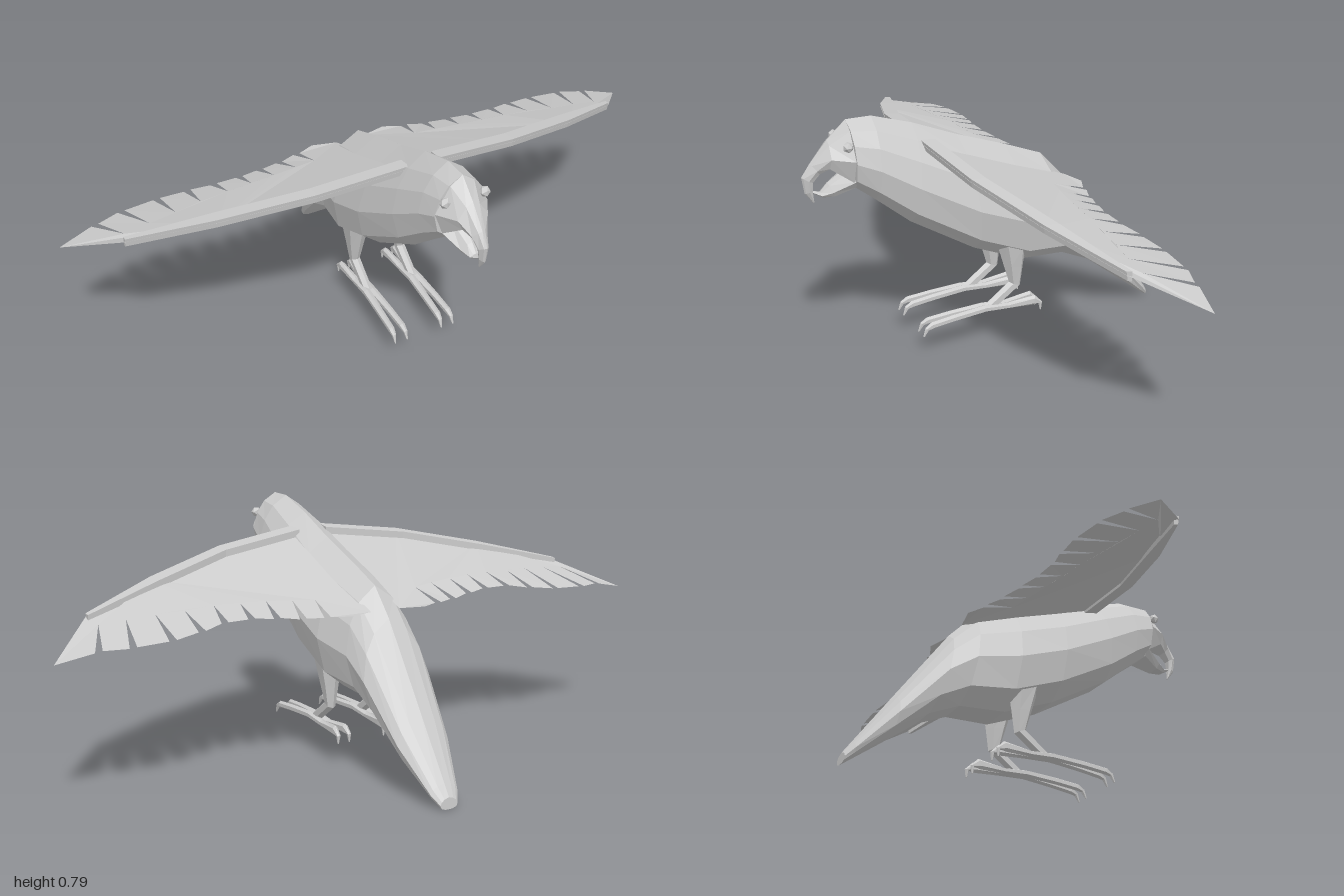
import * as THREE from 'three';

const solid = new THREE.MeshStandardMaterial({ color: 0xcccccc, flatShading: true });
const thin = new THREE.MeshStandardMaterial({ color: 0xcccccc, flatShading: true, side: THREE.DoubleSide });

// Half cross-sections: [fraction of half width, fraction of height from bottom to top]
const BODY = [[0, 1], [0.5, 0.87], [0.82, 0.68], [1, 0.42], [0.86, 0.14], [0.4, 0]];
const BEAK = [[0, 1], [0.45, 0.85], [1, 0.4], [0.7, 0]];
const LIMB = [[0, 1], [1, 0.75], [1, 0.25], [0, 0]];

// Skin a list of equal rings and close both ends
function skin(name, rings) {
  const n = rings[0].length, index = [];
  for (let i = 0; i < rings.length - 1; i++) {
    for (let j = 0; j < n; j++) {
      const a = i * n + j, b = i * n + (j + 1) % n;
      index.push(a, b, b + n, a, b + n, a + n);
    }
  }
  const end = (rings.length - 1) * n;
  for (let j = 1; j < n - 1; j++) index.push(0, j + 1, j, end, end + j, end + j + 1);
  const g = new THREE.BufferGeometry();
  g.setAttribute('position', new THREE.Float32BufferAttribute(rings.flat(2), 3));
  g.setIndex(index);
  const flat = g.toNonIndexed();
  flat.computeVertexNormals();
  const mesh = new THREE.Mesh(flat, solid);
  mesh.name = name;
  return mesh;
}

// Section: [top z, top y, bottom z, bottom y, half width, centre x]
function loft(name, half, sections) {
  const mirrored = half.filter(p => p[0] > 0).reverse().map(([w, h]) => [-w, h]);
  const profile = [...half, ...mirrored];
  return skin(name, sections.map(([tz, ty, bz, by, hw, cx = 0]) =>
    profile.map(([w, h]) => [cx + w * hw, by + (ty - by) * h, bz + (tz - bz) * h])));
}

// Piecewise linear lookup in rows [x, value, ...]
function lookup(rows, x, column) {
  let i = 0;
  while (i < rows.length - 2 && x > rows[i + 1][0]) i++;
  const t = (x - rows[i][0]) / (rows[i + 1][0] - rows[i][0]);
  return THREE.MathUtils.lerp(rows[i][column], rows[i + 1][column], t);
}

// Leading edge [x, z, y]; feather gaps [notch x, notch z, tip x, tip z]
const LEAD = [[0.05, 0.245, 0.71], [0.33, 0.21, 0.675], [0.6, 0.12, 0.62], [0.845, 0.005, 0.56], [1, -0.17, 0.48]];
const TRAIL = [[0, 0.52], [0.5, 0.52], [0.8, 0.5], [1, 0.475]];
const GAPS = [
  [0.83, -0.055, 0.88, -0.195], [0.75, -0.06, 0.79, -0.22], [0.665, -0.07, 0.675, -0.225],
  [0.58, -0.085, 0.58, -0.21], [0.49, -0.09, 0.5, -0.19], [0.41, -0.1, 0.415, -0.19],
  [0.33, -0.11, 0.34, -0.205], [0.25, -0.125, 0.265, -0.225], [0.18, -0.14, 0.195, -0.245],
];

function makeWing(side) {
  const wing = new THREE.Group();
  wing.name = side > 0 ? 'leftWing' : 'rightWing';

  // Feather sheet, cut flat and then lifted to the wing slope
  const outline = LEAD.map(([x, z]) => new THREE.Vector2(x, z));
  for (const [nx, nz, tx, tz] of GAPS) {
    outline.push(new THREE.Vector2(tx + 0.012, tz), new THREE.Vector2(nx, nz), new THREE.Vector2(tx - 0.01, tz));
  }
  outline.push(new THREE.Vector2(0.13, -0.27), new THREE.Vector2(0.05, -0.25));
  const sheet = new THREE.ShapeGeometry(new THREE.Shape(outline));
  const p = sheet.attributes.position;
  for (let i = 0; i < p.count; i++) {
    const x = p.getX(i), z = p.getY(i), zl = lookup(LEAD, x, 1);
    const t = Math.min(1, (zl - z) / (zl + 0.225));
    const y = THREE.MathUtils.lerp(lookup(LEAD, x, 2) - 0.01, lookup(TRAIL, x, 1), t);
    p.setXYZ(i, side * x, y, z);
  }
  sheet.computeVertexNormals();
  const feathers = new THREE.Mesh(sheet, thin);
  feathers.name = 'feathers';

  // Thick leading edge
  const rings = LEAD.slice(0, 4).map(([x, z, y], i) => {
    const depth = i === 3 ? 0.018 : 0.05;
    const ring = [
      [side * x, y - depth * 0.12, z - depth], [side * x, y, z],
      [side * x, y - 0.028, z - 0.005], [side * x, y - 0.028 - depth * 0.2, z - depth],
    ];
    return side > 0 ? ring : ring.reverse();
  });
  wing.add(feathers, skin('leadingEdge', rings));
  return wing;
}

function makeLeg(side) {
  const leg = new THREE.Group();
  const x = side * 0.083;
  leg.name = side > 0 ? 'leftLeg' : 'rightLeg';
  leg.add(loft('shank', LIMB, [
    [-0.1, 0.31, 0.01, 0.36, 0.036, x], [-0.09, 0.25, -0.02, 0.26, 0.024, x],
    [-0.08, 0.178, -0.04, 0.195, 0.014, x], [0, 0.12, 0.045, 0.132, 0.013, x],
  ]));
  // Two toes, each running from front claw to back claw
  for (const s of [-1, 1]) {
    const at = spread => x + s * spread;
    leg.add(loft('toe', LIMB, [
      [0.27, 0.077, 0.265, 0.075, 0.002, at(0.021)], [0.262, 0.105, 0.25, 0.095, 0.006, at(0.02)],
      [0.24, 0.12, 0.23, 0.098, 0.009, at(0.019)], [0.16, 0.128, 0.16, 0.105, 0.01, at(0.016)],
      [0.05, 0.135, 0.05, 0.112, 0.012, at(0.01)], [-0.03, 0.127, -0.03, 0.108, 0.011, at(0.011)],
      [-0.125, 0.137, -0.115, 0.104, 0.009, at(0.018)], [-0.152, 0.11, -0.138, 0.107, 0.006, at(0.019)],
      [-0.148, 0.083, -0.143, 0.083, 0.002, at(0.02)],
    ]));
  }
  return leg;
}

export function createModel() {
  const bird = new THREE.Group();
  bird.name = 'bird';

  // Head, trunk and tail in one skin, front to back
  bird.add(loft('body', BODY, [
    [0.46, 0.79, 0.455, 0.59, 0.085], [0.38, 0.79, 0.39, 0.54, 0.098], [0.25, 0.75, 0.28, 0.45, 0.118],
    [0.1, 0.69, 0.07, 0.325, 0.14], [-0.06, 0.635, -0.1, 0.255, 0.143], [-0.19, 0.585, -0.25, 0.245, 0.122],
    [-0.27, 0.5, -0.35, 0.2, 0.115], [-0.45, 0.25, -0.47, 0.106, 0.088],
    [-0.575, 0.075, -0.575, 0.025, 0.047], [-0.6, 0.04, -0.602, 0.004, 0.03],
  ]));

  // Hooked upper beak and short lower beak, tip to head
  bird.add(loft('upperBeak', BEAK, [
    [0.571, 0.545, 0.568, 0.547, 0.003], [0.596, 0.578, 0.573, 0.585, 0.011], [0.604, 0.63, 0.572, 0.612, 0.016],
    [0.576, 0.67, 0.552, 0.638, 0.025], [0.52, 0.735, 0.525, 0.655, 0.048], [0.46, 0.79, 0.46, 0.61, 0.085],
  ]));
  bird.add(loft('lowerBeak', BEAK, [
    [0.577, 0.584, 0.572, 0.577, 0.005], [0.548, 0.577, 0.545, 0.562, 0.018],
    [0.525, 0.602, 0.51, 0.563, 0.032], [0.45, 0.65, 0.45, 0.588, 0.062],
  ]));

  for (const side of [1, -1]) {
    const eye = new THREE.Mesh(new THREE.IcosahedronGeometry(0.017, 0), solid);
    eye.name = side > 0 ? 'leftEye' : 'rightEye';
    eye.position.set(side * 0.064, 0.725, 0.477);
    bird.add(eye, makeWing(side), makeLeg(side));
  }
  return bird;
}
